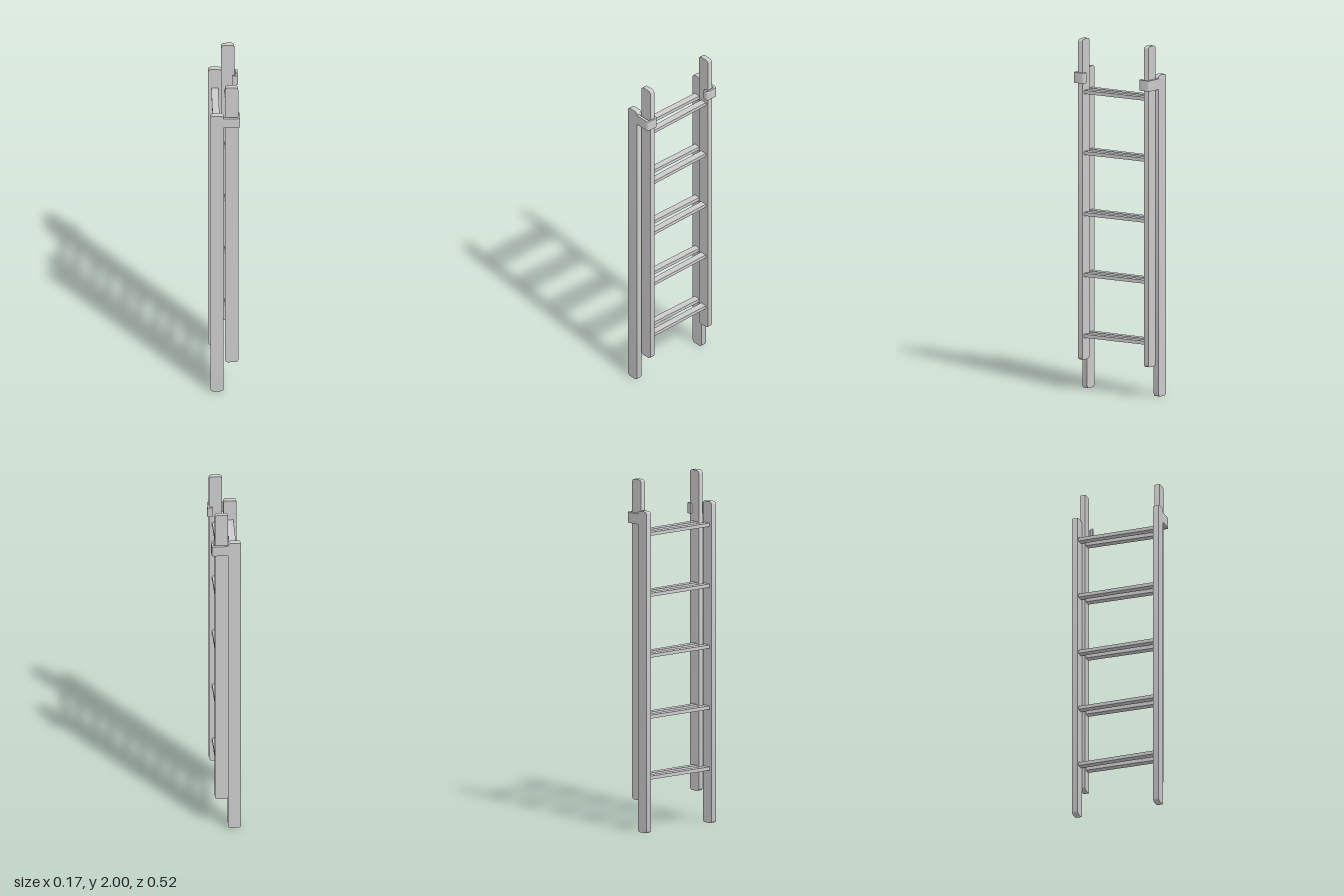
import * as THREE from 'three';
import { toCreasedNormals } from 'three/addons/utils/BufferGeometryUtils.js';

const material = new THREE.MeshStandardMaterial({ color: 0xcccccc });
const rungHeights = [0.31, 0.657, 1.004, 1.351, 1.698];

function addMesh(parent, name, geometry) {
  const mesh = new THREE.Mesh(geometry, material);
  mesh.name = name;
  parent.add(mesh);
  return mesh;
}

function extrude(shape, depth) {
  const geometry = new THREE.ExtrudeGeometry(shape, { depth, bevelEnabled: false, curveSegments: 5 });
  return toCreasedNormals(geometry, 0.6);
}

// Flat plank outline with rounded corners, standing from y0 to y1
function plankShape(width, y0, y1, r) {
  const w = width / 2;
  const s = new THREE.Shape();
  s.absarc(w - r, y0 + r, r, -Math.PI / 2, 0);
  s.absarc(w - r, y1 - r, r, 0, Math.PI / 2);
  s.absarc(-w + r, y1 - r, r, Math.PI / 2, Math.PI);
  s.absarc(-w + r, y0 + r, r, Math.PI, Math.PI * 1.5);
  s.closePath();
  return s;
}

// Two rails joined by five rungs; outer is the half spacing to the outside faces
function createLadder(name, y0, y1, outer, thickness) {
  const ladder = new THREE.Group();
  ladder.name = name;
  const railGeometry = extrude(plankShape(0.074, y0, y1, 0.018), thickness);
  for (const side of [1, -1]) {
    const rail = addMesh(ladder, side > 0 ? 'frontRail' : 'backRail', railGeometry);
    rail.position.z = side > 0 ? outer - thickness : -outer;
  }
  const rungGeometry = new THREE.BoxGeometry(0.039, 0.02, 2 * (outer - thickness) + 0.004);
  for (const y of rungHeights) addMesh(ladder, 'rung', rungGeometry).position.y = y;
  return ladder;
}

// Hook that reaches from the fixed ladder around the sliding rail
function bracketGeometry(side) {
  const s = new THREE.Shape();
  s.moveTo(-0.016, side * 0.259);
  s.lineTo(0.066, side * 0.259);
  s.quadraticCurveTo(0.082, side * 0.259, 0.082, side * 0.246);
  s.lineTo(0.082, side * 0.2);
  s.quadraticCurveTo(0.082, side * 0.187, 0.068, side * 0.187);
  s.lineTo(0.052, side * 0.187);
  s.lineTo(0.052, side * 0.199);
  s.lineTo(0.066, side * 0.199);
  s.quadraticCurveTo(0.071, side * 0.199, 0.071, side * 0.204);
  s.lineTo(0.071, side * 0.239);
  s.quadraticCurveTo(0.071, side * 0.243, 0.066, side * 0.243);
  s.lineTo(-0.016, side * 0.243);
  s.closePath();
  return extrude(s, 0.06).rotateX(Math.PI / 2);
}

export function createModel() {
  const model = new THREE.Group();
  model.name = 'extensionLadder';

  const fixed = createLadder('fixedLadder', 0, 1.83, 0.259, 0.033);
  fixed.position.x = -0.047;
  model.add(fixed);

  // Sliding section sits slightly skewed in its hooks
  const sliding = createLadder('slidingLadder', 0.175, 2, 0.235, 0.029);
  sliding.position.set(0.0305, 0, -0.003);
  sliding.rotation.y = 0.0225;
  model.add(sliding);

  for (const side of [1, -1]) {
    const bracket = addMesh(model, side > 0 ? 'frontBracket' : 'backBracket', bracketGeometry(side));
    bracket.position.y = 1.81;
  }
  return model;
}
